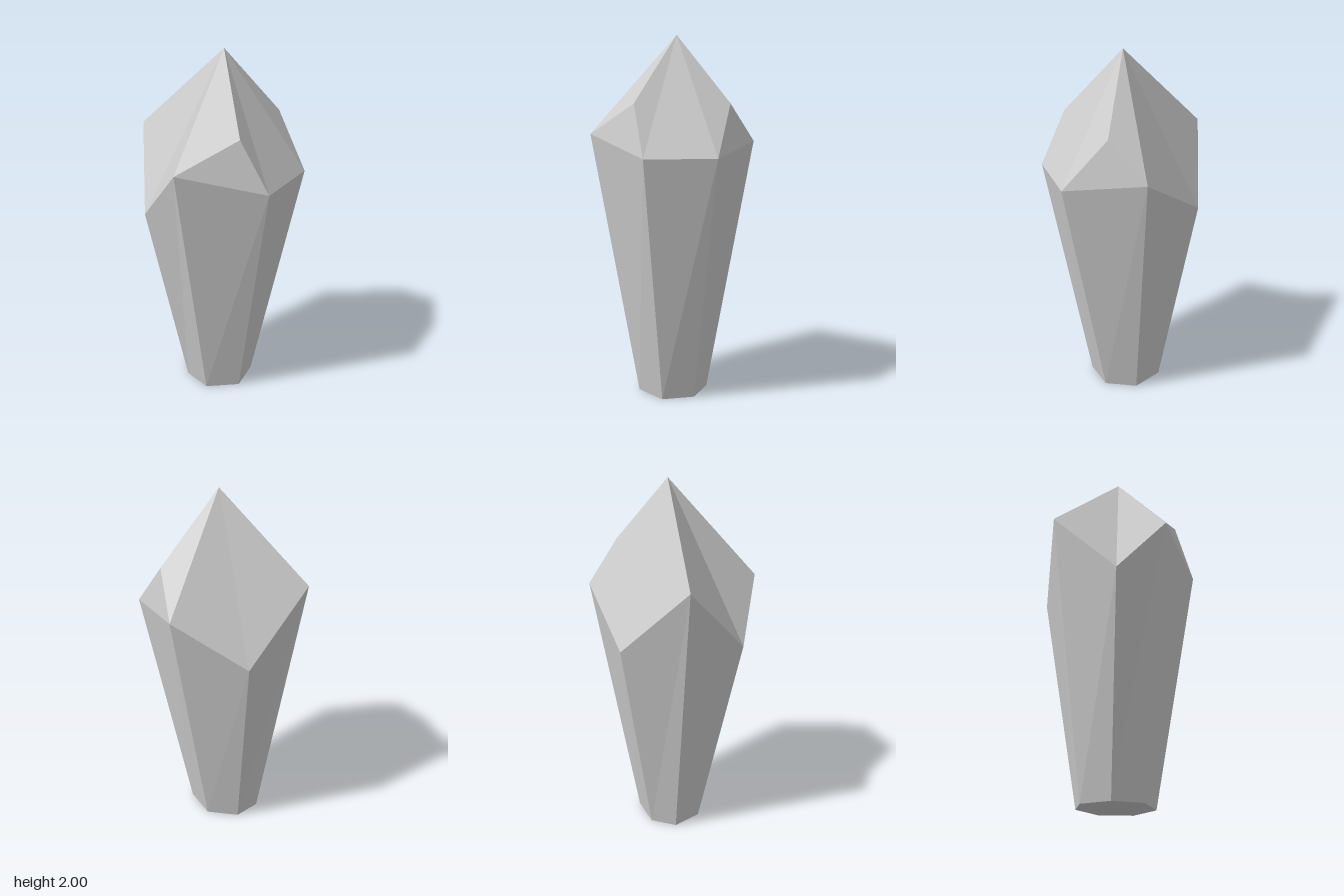
import * as THREE from 'three';

// Builds one flat-shaded mesh from polygons, each fanned from its first corner.
function facetMesh(name, polygons) {
  const positions = [];
  for (const poly of polygons) {
    for (let i = 1; i < poly.length - 1; i++) {
      positions.push(...poly[0], ...poly[i], ...poly[i + 1]);
    }
  }
  const geometry = new THREE.BufferGeometry();
  geometry.setAttribute('position', new THREE.Float32BufferAttribute(positions, 3));
  geometry.computeVertexNormals();
  const mesh = new THREE.Mesh(
    geometry,
    new THREE.MeshStandardMaterial({ color: 0xcccccc, flatShading: true })
  );
  mesh.name = name;
  return mesh;
}

export function createModel() {
  const group = new THREE.Group();
  group.name = 'crystal';

  // Seven-sided foot and uneven shoulder, in matching order around the y axis
  const foot = [
    [-0.02, 0, -0.22], [0.146, 0, -0.137], [0.19, 0, 0.044], [0.072, 0, 0.183],
    [-0.122, 0, 0.152], [-0.2, 0, 0], [-0.16, 0, -0.165],
  ];
  const shoulder = [
    [0, 1.18, -0.425], [0.362, 1.43, -0.265], [0.425, 1.36, 0.17], [0.143, 1.36, 0.422],
    [-0.317, 1.47, 0.32], [-0.428, 1.16, 0.067], [-0.355, 1.545, -0.302],
  ];
  const apex = [0.025, 2, -0.005];

  // Extra corners of the tip, each above the shoulder edge that starts at its key
  const chips = { 1: [0.347, 1.635, -0.053], 3: [0.013, 1.635, 0.338] };

  const sides = [];
  const tip = [];
  for (let i = 0; i < 7; i++) {
    const j = (i + 1) % 7;
    const chip = chips[i];
    sides.push([foot[j], foot[i], shoulder[i], shoulder[j]]);
    if (chip) {
      tip.push([apex, chip, shoulder[i]], [apex, shoulder[j], chip], [chip, shoulder[j], shoulder[i]]);
    } else {
      tip.push([apex, shoulder[j], shoulder[i]]);
    }
  }

  group.add(
    facetMesh('shaft', sides),
    facetMesh('tip', tip),
    facetMesh('base', [foot])
  );
  return group;
}
